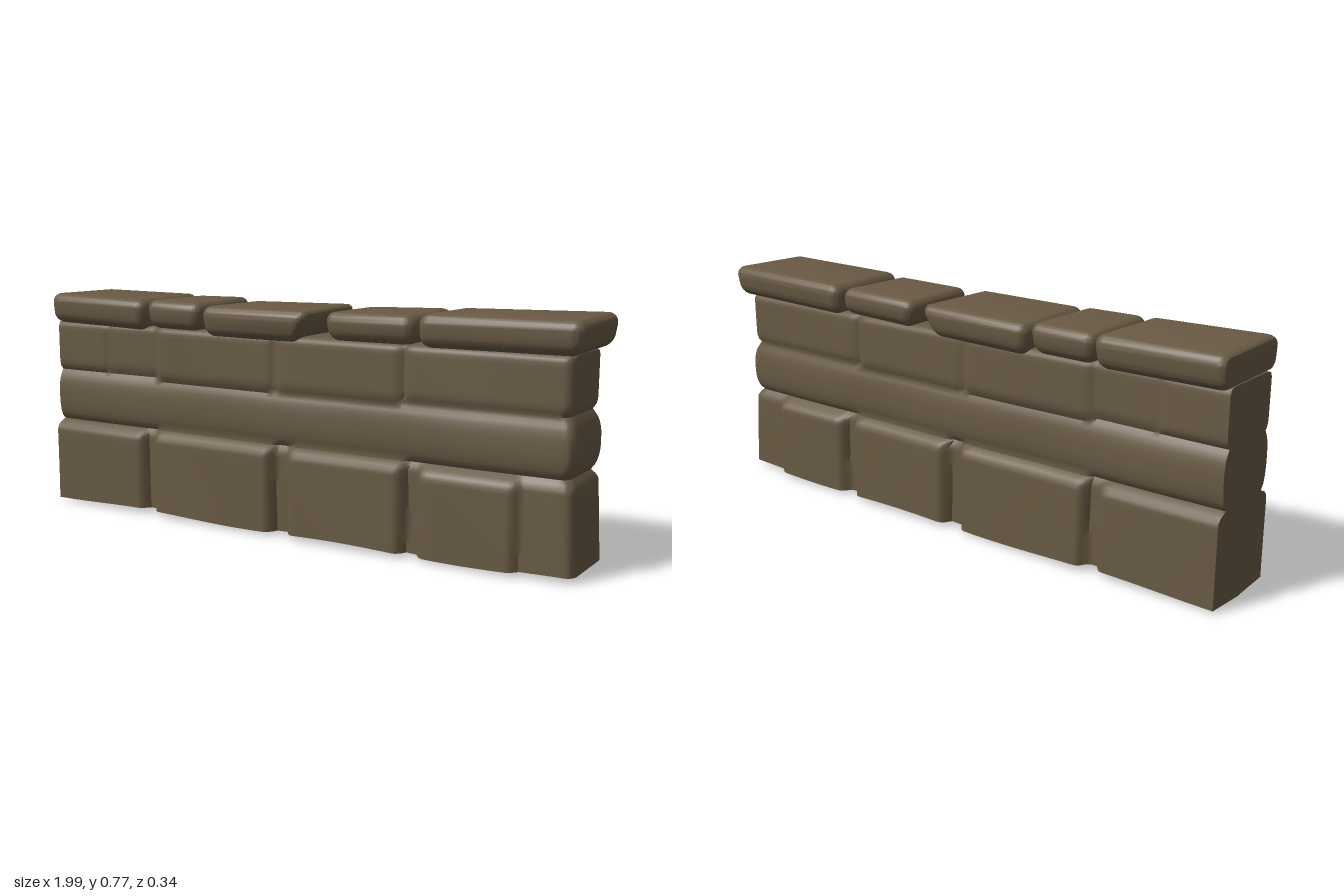
import * as THREE from 'three';
import { toCreasedNormals } from 'three/addons/utils/BufferGeometryUtils.js';
import { RoundedBoxGeometry } from 'three/addons/geometries/RoundedBoxGeometry.js';

const stone = new THREE.MeshStandardMaterial({ color: 0x695a44, side: THREE.DoubleSide });
stone.name = 'brown stone';

// Stones that swell out of the wall face: x0, x1, y0, y1, half depth, edge radius
const BASE = 0.108;
const STONES = [
  // lower course
  [-1.2, -0.59, -0.2, 0.3, 0.15, 0.035],
  [-0.555, -0.05, -0.2, 0.305, 0.157, 0.035],
  [0.0, 0.435, -0.2, 0.305, 0.157, 0.035],
  [0.475, 0.815, -0.2, 0.295, 0.153, 0.035],
  [0.7, 1.2, -0.2, 0.295, 0.128, 0.025],
  [-1.2, 1.2, -0.2, 0.295, 0.119, 0.02],
  // middle course, one long roll
  [-1.2, 1.2, 0.305, 0.48, 0.131, 0.08],
  // upper course
  [-1.2, -0.77, 0.49, 0.76, 0.122, 0.035],
  [-0.78, -0.545, 0.495, 0.76, 0.119, 0.035],
  [-0.555, -0.055, 0.475, 0.76, 0.13, 0.04],
  [-0.055, 0.415, 0.475, 0.76, 0.128, 0.04],
  [0.415, 1.2, 0.485, 0.76, 0.124, 0.04],
  [-1.2, 1.2, 0.5, 0.76, 0.114, 0.03],
];

const roundOff = (d, r) => {
  const t = THREE.MathUtils.clamp(d / r, 0, 1);
  return Math.sqrt(1 - (1 - t) * (1 - t));
};

function halfDepth(x, y) {
  let w = BASE;
  for (const [x0, x1, y0, y1, depth, r] of STONES) {
    const s = roundOff(Math.min(x - x0, x1 - x), r) * roundOff(Math.min(y - y0, y1 - y), r);
    w = Math.max(w, BASE + (depth - BASE) * s);
  }
  return w + 0.002 * Math.sin(x * 9 + y * 7);
}

// Right end of the wall bulges with each course
function endX(y) {
  if (y < 0.3) return 0.94 + (0.042 - y * 0.05) * roundOff(0.3 - y, 0.03);
  if (y < 0.485) return 0.94 + 0.03 * roundOff(Math.min(y - 0.3, 0.485 - y), 0.08);
  return 0.94 + 0.018 * roundOff(y - 0.485, 0.04);
}

// Hollow wall shell: horizontal rings stacked upward, open underneath
function wallGeometry() {
  const N = 170, E = 8, R = 0.03;
  const rows = [];
  for (let i = 0; i <= 48; i++) rows.push([0.015 + (0.63 * i) / 48, 1]);
  rows.push([0.655, 0.98], [0.662, 0.94], [0.666, 0.85], [0.667, 0.4], [0.667, 0]);

  const ts = [];
  for (let i = 0; i <= N; i++) ts.push((i / N) * 0.985);
  for (const t of [0.989, 0.993, 0.996, 0.9985, 1]) ts.push(t);

  const ring = (y, k) => {
    const end = endX(y);
    const face = (t, side) => {
      const x = -1 + (end + 1) * t;
      const w = halfDepth(x, y) - R * (1 - roundOff(end - x, R));
      return [x, w * k * side];
    };
    const front = ts.map(t => face(t, 1));
    const back = ts.map(t => face(t, -1)).reverse();
    const pts = [...front];
    const strip = (a, b) => {
      for (let i = 1; i < E; i++) pts.push([a[0], a[1] + ((b[1] - a[1]) * i) / E]);
    };
    strip(front[front.length - 1], back[0]);
    pts.push(...back);
    strip(back[back.length - 1], front[0]);
    return pts;
  };

  const pos = [], index = [];
  let n = 0;
  rows.forEach(([y, k], j) => {
    const pts = ring(y, k);
    n = pts.length;
    for (const [x, z] of pts) {
      // uneven ground edge, lowest in the middle of the left end
      const dip = j === 0 ? 0.005 * Math.sin(x * 8) - (x < -0.99 ? 0.01 * (1 - Math.abs(z) / 0.16) : 0) : 0;
      pos.push(x, Math.max(0, y + dip), z);
    }
  });
  for (let j = 0; j < rows.length - 1; j++) {
    for (let i = 0; i < n; i++) {
      const a = j * n + i, b = j * n + ((i + 1) % n);
      index.push(a, b, b + n, a, b + n, a + n);
    }
  }
  const g = new THREE.BufferGeometry();
  g.setAttribute('position', new THREE.Float32BufferAttribute(pos, 3));
  g.setIndex(index);
  return toCreasedNormals(g, 0.9);
}

// Capping stone: rounded slab, narrower underneath, with cut-back lower ends
function capGeometry([x0, x1, y0, y1, z0, z1, cutL, cutR, tilt]) {
  const w = x1 - x0, h = y1 - y0, d = z1 - z0;
  const g = new RoundedBoxGeometry(w, h, d, 5, 0.038);
  const p = g.attributes.position;
  for (let i = 0; i < p.count; i++) {
    const x = p.getX(i), y = p.getY(i), z = p.getZ(i);
    const low = THREE.MathUtils.clamp(0.5 - y / h, 0, 1);
    const u = x / w;
    const cut = u > 0 ? -cutR * low * u * 2 : -cutL * low * u * 2;
    p.setXYZ(i,
      Math.max(-1, x + cut + (x0 + x1) / 2),
      y + (y0 + y1) / 2 + tilt * u + 0.008 * (z / d) * (u > 0 ? -1 : 1) * Math.abs(u),
      z * (1 - 0.08 * low) * (1 + 0.03 * u) + (z0 + z1) / 2);
  }
  return toCreasedNormals(g, 0.8);
}

const CAPS = [
  [-1.012, -0.572, 0.658, 0.764, -0.178, 0.164, 0, 0.01, -0.006],
  [-0.578, -0.338, 0.662, 0.76, -0.172, 0.155, 0.01, 0.015, 0],
  [-0.333, 0.098, 0.65, 0.753, -0.174, 0.17, 0.01, 0.055, 0.004],
  [0.138, 0.46, 0.664, 0.756, -0.16, 0.154, 0.015, 0, 0.006],
  [0.473, 1.0, 0.664, 0.768, -0.172, 0.162, 0, 0.015, 0.008],
];

export function createModel() {
  const group = new THREE.Group();
  group.name = 'stoneWall';
  const wall = new THREE.Mesh(wallGeometry(), stone);
  wall.name = 'wallCourses';
  group.add(wall);
  CAPS.forEach((c, i) => {
    const cap = new THREE.Mesh(capGeometry(c), stone);
    cap.name = 'capStone' + (i + 1);
    group.add(cap);
  });
  return group;
}
